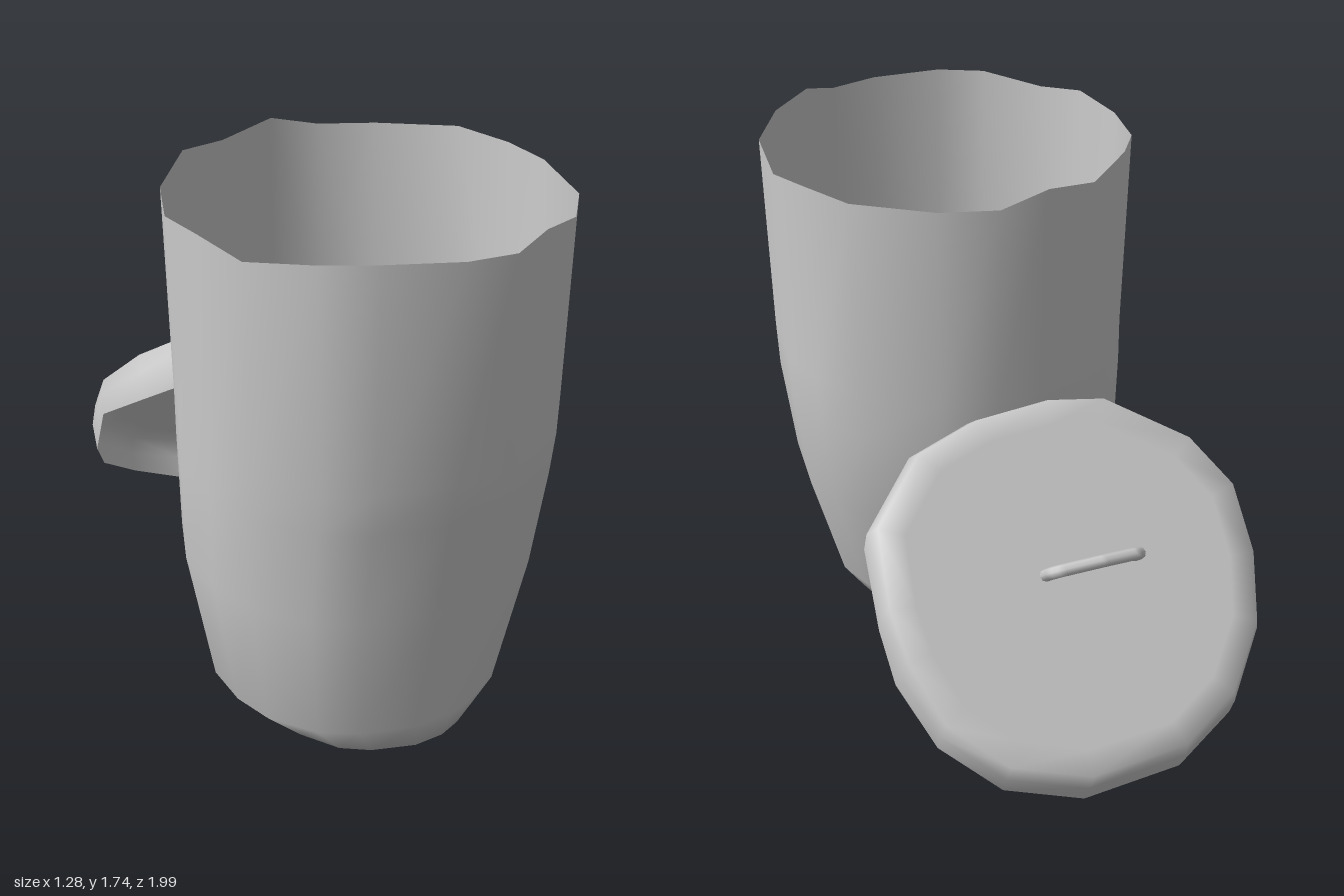
import * as THREE from 'three';

const material = new THREE.MeshStandardMaterial({ color: 0xcccccc, side: THREE.DoubleSide });

// Smooth open skin over closed rings of points, ordered from bottom to top.
function skin(name, rings) {
  const n = rings[0].length;
  const index = [];
  for (let r = 0; r < rings.length - 1; r++) {
    for (let i = 0; i < n; i++) {
      const a = r * n + i, b = r * n + (i + 1) % n;
      index.push(a, a + n, b, b, a + n, b + n);
    }
  }
  const geometry = new THREE.BufferGeometry();
  geometry.setAttribute('position', new THREE.Float32BufferAttribute(rings.flat(2), 3));
  geometry.setIndex(index);
  geometry.computeVertexNormals();
  const mesh = new THREE.Mesh(geometry, material);
  mesh.name = name;
  return mesh;
}

// Bin: one uneven outline (x, z, rim height) fitted into a box at each level.
function createBin() {
  const outline = [
    [0.09, -0.23, 1.71], [0.27, -0.18, 1.71], [0.5, -0.04, 1.72], [0.59, 0.15, 1.72],
    [0.64, 0.3, 1.71], [0.61, 0.6, 1.715], [0.5, 0.8, 1.735], [0.36, 0.91, 1.76],
    [0.25, 0.97, 1.73], [0.09, 1.0, 1.74], [-0.14, 0.97, 1.75], [-0.29, 0.91, 1.745],
    [-0.45, 0.76, 1.715], [-0.53, 0.6, 1.74], [-0.57, 0.4, 1.72], [-0.53, 0.18, 1.72],
    [-0.41, -0.02, 1.75], [-0.25, -0.15, 1.72], [-0.07, -0.22, 1.75],
  ];
  // y, left and right x, back and front z
  const levels = [
    [0.03, 0.02, 0.02, 0.44, 0.44],
    [0.03, -0.35, 0.39, 0.02, 0.86],
    [0.14, -0.48, 0.465, -0.03, 0.9],
    [0.57, -0.55, 0.585, -0.165, 0.935],
    [0.9, -0.555, 0.625, -0.2, 0.97],
    [1.05, -0.557, 0.627, -0.207, 1.0],
    [null, -0.57, 0.64, -0.225, 1.0],
  ];
  return skin('bin', levels.map(([y, x0, x1, z0, z1]) => outline.map(([x, z, top]) => [
    THREE.MathUtils.mapLinear(x, -0.57, 0.64, x0, x1),
    y ?? top,
    THREE.MathUtils.mapLinear(z, -0.23, 1, z0, z1),
  ])));
}

// Lid: flat disc with a hollow, ragged skirt, built flat and then leaned back.
function createLid() {
  const lid = new THREE.Group();
  lid.name = 'lid';
  // x, z, skirt depth
  const outline = [
    [0.1, -0.59, 0.13], [0.35, -0.5, 0.11], [0.52, -0.33, 0.1], [0.59, -0.12, 0.155],
    [0.61, 0.05, 0.12], [0.59, 0.3, 0.16], [0.41, 0.5, 0.14], [0.2, 0.57, 0.16],
    [-0.05, 0.59, 0.16], [-0.24, 0.56, 0.16], [-0.5, 0.38, 0.15], [-0.61, 0.2, 0.11],
    [-0.62, -0.03, 0.15], [-0.57, -0.25, 0.13], [-0.43, -0.45, 0.11], [-0.23, -0.57, 0.13],
  ];
  const ring = (scale, drop, shift = 0) =>
    outline.map(([x, z, d]) => [x * scale, -d * drop, z * scale + shift]);
  lid.add(skin('lidShell', [
    ring(1.015, 1, -0.05), ring(1.02, 0.45, -0.015), ring(0.985, 0), ring(0.85, 0), ring(0, 0),
  ]));

  // Angular grip made of straight round bars
  const grip = [[-0.205, -0.01], [-0.205, 0.06], [-0.18, 0.085], [-0.06, 0.105],
    [0.07, 0.085], [0.095, 0.06], [0.095, -0.01]].map(([x, y]) => new THREE.Vector3(x, y, 0.045));
  const path = new THREE.CurvePath();
  for (let i = 1; i < grip.length; i++) path.add(new THREE.LineCurve3(grip[i - 1], grip[i]));
  const handle = new THREE.Mesh(new THREE.TubeGeometry(path, 36, 0.02, 8), material);
  handle.name = 'lidHandle';
  lid.add(handle);

  lid.rotation.x = -0.877;
  lid.position.set(-0.01, 0.605, -0.622);
  return lid;
}

export function createModel() {
  const model = new THREE.Group();
  model.name = 'binWithLid';
  model.add(createBin(), createLid());
  return model;
}
